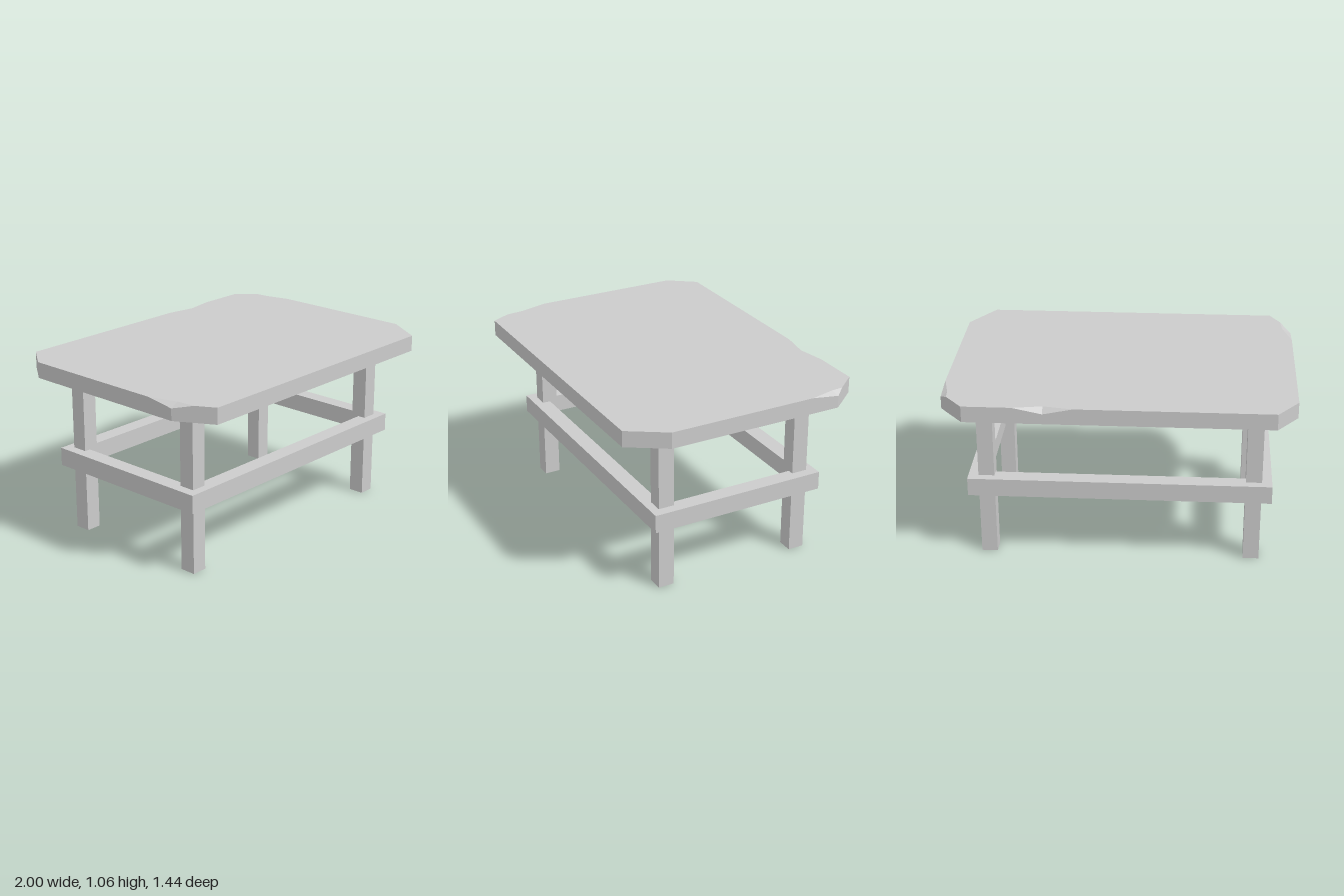
import * as THREE from 'three';

const BOTTOM = 0.965, TOP = 1.06;
const material = new THREE.MeshStandardMaterial({ color: 0xcccccc, flatShading: true });

// Slab outline, counter-clockwise from above: [x, z], and at a chip also
// [rim height, x and z of the chip's inner point on the top face]
const outline = [
  [-0.88, 0.72], [0.86, 0.72], [1, 0.5],
  [1, -0.38], [1, -0.55, 1.037, 0.965, -0.53], [0.96, -0.6],
  [0.86, -0.72],
  [0.58, -0.72], [0.41, -0.72, 1.025, 0.41, -0.69], [0.24, -0.72],
  [-0.88, -0.72], [-1, -0.56],
  [-1, 0.33], [-1, 0.5, 1.035, -0.95, 0.5], [-0.94, 0.61],
];

// Octagonal slab with three chipped spots along its upper edge
function slabGeometry() {
  const base = outline.map(([x, z]) => [x, BOTTOM, z]);
  const rim = outline.map(([x, z, y = TOP]) => [x, y, z]);
  const top = outline.map(([x, z, , tx = x, tz = z]) => [tx, TOP, tz]);
  const positions = [];
  const triangle = (a, b, c) => {
    const v = [a, b, c].map((p) => new THREE.Vector3(...p));
    if (new THREE.Triangle(...v).getArea() > 1e-7) positions.push(...a, ...b, ...c);
  };
  const strip = (low, high) => low.forEach((a, i) => {
    const j = (i + 1) % low.length;
    triangle(a, low[j], high[j]);
    triangle(a, high[j], high[i]);
  });
  const cap = (loop, flip) => {
    const points = loop.map(([x, , z]) => new THREE.Vector2(x, -z));
    for (const [a, b, c] of THREE.ShapeUtils.triangulateShape(points, [])) {
      triangle(loop[a], loop[flip ? c : b], loop[flip ? b : c]);
    }
  };
  strip(base, rim);  // side walls
  strip(rim, top);   // chip facets
  cap(top, false);
  cap(base, true);
  const geometry = new THREE.BufferGeometry();
  geometry.setAttribute('position', new THREE.Float32BufferAttribute(positions, 3));
  geometry.computeVertexNormals();
  return geometry;
}

function rectangle(Type, x, z) {
  return new Type([[-x, -z], [x, -z], [x, z], [-x, z]].map((p) => new THREE.Vector2(...p)));
}

export function createModel() {
  const table = new THREE.Group();
  table.name = 'table';
  const add = (name, geometry) => {
    const mesh = new THREE.Mesh(geometry, material);
    mesh.name = name;
    table.add(mesh);
    return mesh;
  };

  add('tableTop', slabGeometry());

  // Four square legs
  for (const [side, x] of [['Left', 0.775], ['Right', -0.775]]) {
    for (const [end, z] of [['front', 0.435], ['back', -0.435]]) {
      add(`${end}${side}Leg`, new THREE.BoxGeometry(0.093, BOTTOM, 0.095))
        .position.set(x, BOTTOM / 2, z);
    }
  }

  // Rail frame running round the outside of the legs
  const frame = rectangle(THREE.Shape, 0.88, 0.533);
  frame.holes.push(rectangle(THREE.Path, 0.785, 0.435));
  const rails = new THREE.ExtrudeGeometry(frame, { depth: 0.108, bevelEnabled: false });
  rails.rotateX(-Math.PI / 2);
  add('railFrame', rails).position.y = 0.4;

  return table;
}
